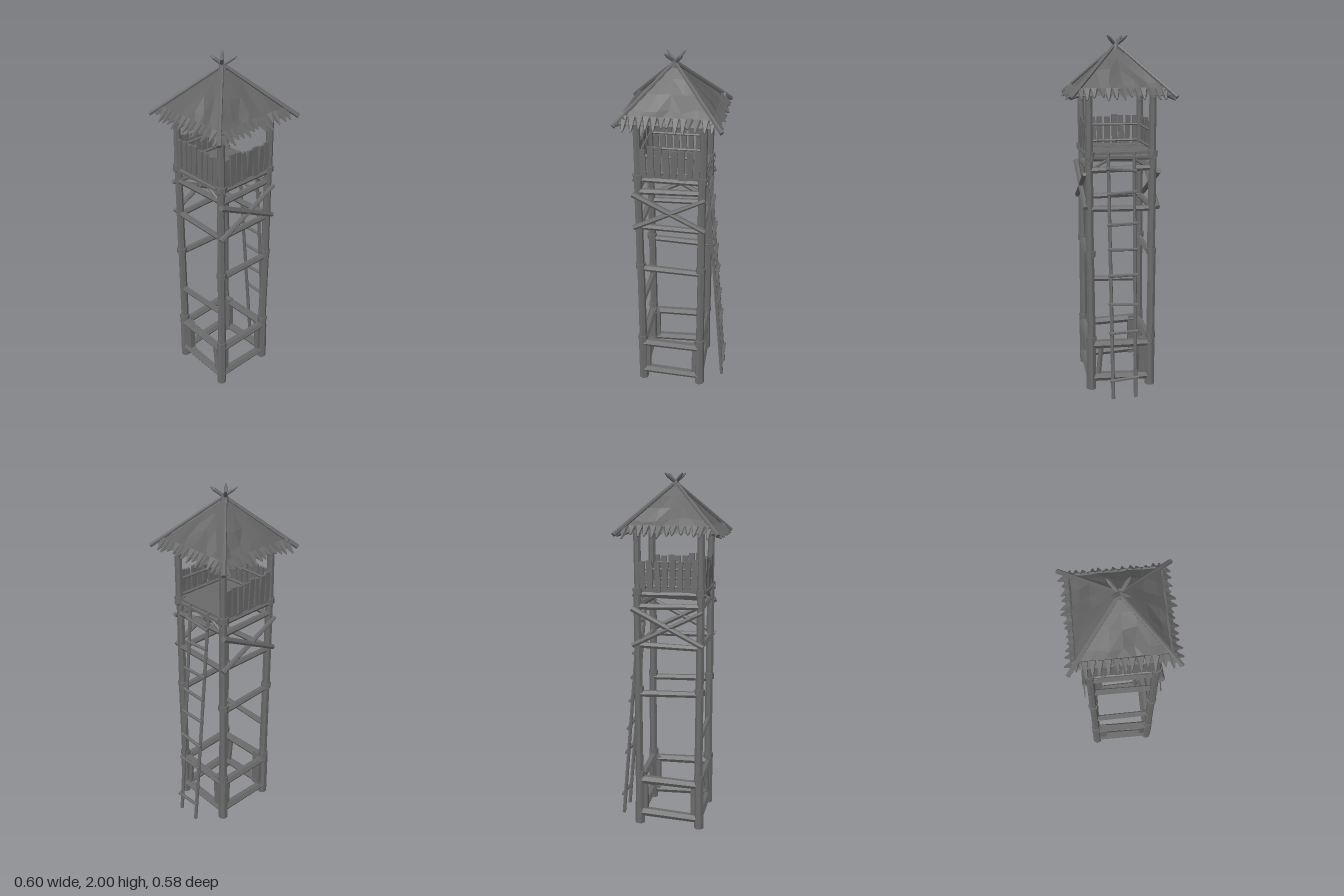
import * as THREE from 'three';

const mat = new THREE.MeshStandardMaterial({ color: 0x6a6a6a, flatShading: true });
const thatchMat = new THREE.MeshStandardMaterial({ color: 0x646464, flatShading: true, side: THREE.DoubleSide });
const V = (x, y, z) => new THREE.Vector3(x, y, z);
const UP = V(0, 1, 0);

let seed = 11;
const rand = (a = -1, b = 1) => {
  seed = (seed * 16807) % 2147483647;
  return a + (b - a) * (seed / 2147483647);
};

// Tapered log from point a to point b
function log(parent, name, a, b, r0, r1 = r0, sides = 6) {
  const d = b.clone().sub(a);
  const m = new THREE.Mesh(new THREE.CylinderGeometry(r1, r0, d.length(), sides), mat);
  m.position.copy(a).addScaledVector(d, 0.5);
  m.quaternion.setFromUnitVectors(UP, d.normalize());
  m.name = name;
  parent.add(m);
  return m;
}

function box(parent, name, w, h, d, x, y, z) {
  const m = new THREE.Mesh(new THREE.BoxGeometry(w, h, d), mat);
  m.position.set(x, y, z);
  m.name = name;
  parent.add(m);
  return m;
}

// Group for one side; its local +z points out of the tower
function side(parent, name, turn) {
  const g = new THREE.Group();
  g.name = name;
  g.rotation.y = turn * Math.PI / 2;
  parent.add(g);
  return g;
}

const P = 0.172; // post distance from the axis

function addPosts(tower) {
  const joints = [0.012, 0.32, 0.83, 1.38, 1.74];
  for (const sx of [-1, 1]) for (const sz of [-1, 1]) {
    const post = new THREE.Group();
    post.name = 'cornerPost';
    tower.add(post);
    // stacked logs, overlapping a little at each lashing
    for (let i = 0; i < 4; i++) {
      const r = [0.029, 0.024, 0.023, 0.021][i];
      log(post, 'postLog', V(sx * P + rand() * 0.003, joints[i], sz * P + rand() * 0.003),
        V(sx * P + rand() * 0.003, joints[i + 1] + 0.01, sz * P + rand() * 0.003), r, r * 0.93, 7);
    }
    for (const y of [0.32, 0.83, 1.38])
      log(post, 'lashing', V(sx * P, y - 0.017, sz * P), V(sx * P, y + 0.017, sz * P), 0.029, 0.029, 8);
  }
}

function addFrame(tower) {
  for (let i = 0; i < 4; i++) {
    const g = side(tower, 'frameSide', i);
    const beam = (y, r, tilt = 0) =>
      log(g, 'crossBeam', V(-P, y + tilt, P), V(P, y - tilt, P), r, r * 0.9);
    beam(0.075, 0.027, 0.008);
    beam(0.28, 0.026, 0.005);
    beam(1.08, 0.018, 0.004);
    beam(1.3, 0.018, -0.004);
    beam(1.72, 0.014);
    if (i % 2 === 0) {
      // front and back: middle beam and crossed braces
      beam(0.81, 0.02, i ? -0.006 : 0.006);
      log(g, 'crossBrace', V(-0.2, 1.29, P + 0.03), V(0.19, 1.09, P + 0.026), 0.017, 0.014);
      log(g, 'crossBrace', V(-0.2, 1.085, P + 0.026), V(0.19, 1.28, P + 0.03), 0.015, 0.012);
      for (const s of [-1, 1])
        box(g, 'baseStrut', 0.025, 0.23, 0.03, s * 0.14, 0.18, P - 0.005);
    } else {
      // left and right: a wide strut and a slanted one inside the base
      const s = i === 1 ? 1 : -1;
      box(g, 'baseStrut', 0.055, 0.25, 0.035, s * 0.132, 0.18, P - 0.005);
      log(g, 'baseStrut', V(-s * 0.135, 0.06, P), V(-s * 0.112, 0.29, P), 0.015);
      if (i === 3) beam(0.555, 0.018, -0.007);
    }
  }
}

function addPlatform(tower) {
  const g = new THREE.Group();
  g.name = 'platform';
  tower.add(g);
  for (let i = 0; i < 8; i++)
    box(g, 'floorPlank', 0.044, 0.014, 0.36 + rand() * 0.01, -0.157 + i * 0.045, 1.385 + rand() * 0.002, 0);
  for (const s of [-1, 1]) {
    log(g, 'joist', V(-0.2, 1.368, s * P), V(0.2, 1.364, s * P), 0.016);
    log(g, 'joist', V(s * P, 1.362, -0.19), V(s * P, 1.366, 0.19), 0.016);
    log(g, 'innerJoist', V(-0.17, 1.345, s * 0.07), V(0.17, 1.345, s * 0.07), 0.01);
    // short struts from the side beams up to the floor
    for (const t of [-1, 1])
      log(g, 'floorStrut', V(s * P, 1.3, t * 0.165), V(s * P, 1.365, t * 0.05), 0.009);
  }

  // Railings on the front, back and the side away from the ladder
  for (const i of [0, 2, 3]) {
    const r = side(g, 'railing', i);
    log(r, 'rail', V(-P, 1.41, P - 0.004), V(P, 1.41 + rand() * 0.004, P - 0.004), 0.008);
    log(r, 'rail', V(-P, 1.5, P - 0.004), V(P, 1.5 + rand() * 0.006, P - 0.004), 0.007);
    for (let k = 0; k < 8; k++) {
      const h = 0.155 + rand() * 0.012;
      const p = box(r, 'railPlank', 0.031 + rand() * 0.003, h, 0.013,
        -0.144 + k * 0.041 + rand() * 0.004, 1.392 + h / 2, P + 0.008);
      p.rotation.z = rand() * 0.06;
      p.rotation.x = rand() * 0.04;
    }
  }
}

function addLadder(tower) {
  const g = new THREE.Group();
  g.name = 'ladder';
  tower.add(g);
  const xAt = y => 0.304 - 0.088 * y;
  for (const z of [0.066, -0.063])
    log(g, 'ladderRail', V(xAt(0), 0.004, z), V(xAt(1.39), 1.39, z * 1.1), 0.011, 0.009);
  for (const y of [0.12, 0.395, 0.555, 0.72, 0.865, 1.005, 1.175, 1.3]) {
    const t = rand() * 0.008;
    log(g, 'rung', V(xAt(y) + 0.012, y - t, 0.084), V(xAt(y) + 0.012, y + t, -0.08), 0.01, 0.009);
  }
}

function addRoof(tower) {
  const roof = new THREE.Group();
  roof.name = 'roof';
  tower.add(roof);
  const yAt = h => 1.945 - 0.98 * h;
  const S = 0.25;
  for (let i = 0; i < 4; i++) {
    const g = side(roof, 'roofQuarter', i);
    // lumpy thatch patches on a square grid, folded along the hip
    const geo = new THREE.PlaneGeometry(S, S, 4, 4);
    const p = geo.attributes.position;
    for (let k = 0; k < p.count; k++) {
      let x = p.getY(k) + S / 2, z = p.getX(k) + S / 2;
      const h = Math.max(x, z);
      const free = Math.min(x, z) > 0.01 && Math.abs(x - z) > 0.01 && h < S - 0.01;
      const bump = free ? rand(-0.014, 0.016) : 0;
      if (free) {
        x += rand() * 0.012;
        z += rand() * 0.012;
      }
      p.setXYZ(k, x, yAt(h) - 0.004 + bump, z);
    }
    geo.computeVertexNormals();
    const thatch = new THREE.Mesh(geo, thatchMat);
    thatch.name = 'thatch';
    g.add(thatch);
    // ragged straw tufts along the eave, kept clear of the hip poles
    for (let k = 0; k < 13; k++) {
      const x = -0.222 + k * 0.037, out = 0.27 + rand() * 0.012;
      log(g, 'strawTuft', V(x, yAt(0.215) - 0.018, 0.215),
        V(x + rand() * 0.008, yAt(out) - 0.002, out), 0.026, 0.004, 5);
    }
  }
  // Hip poles crossing above the peak
  for (const sx of [-1, 1]) for (const sz of [-1, 1]) {
    const off = sx * sz * 0.006;
    log(roof, 'hipPole', V(sx * 0.272, 1.686, sz * 0.272 + off),
      V(-sx * 0.034, 1.984, -sz * 0.034 + off), 0.0125, 0.009);
    log(roof, 'hipPoleTip', V(-sx * 0.034, 1.984, -sz * 0.034 + off),
      V(-sx * 0.047, 1.998, -sz * 0.047 + off), 0.009, 0.003);
  }
  log(roof, 'peakLashing', V(0, 1.925, 0), V(0, 1.96, 0), 0.024, 0.016, 8);
}

export function createModel() {
  const model = new THREE.Group();
  model.name = 'watchtower';
  const tower = new THREE.Group();
  tower.name = 'tower';
  tower.position.x = -0.015;
  model.add(tower);
  addPosts(tower);
  addFrame(tower);
  addPlatform(tower);
  addLadder(tower);
  addRoof(tower);
  return model;
}
